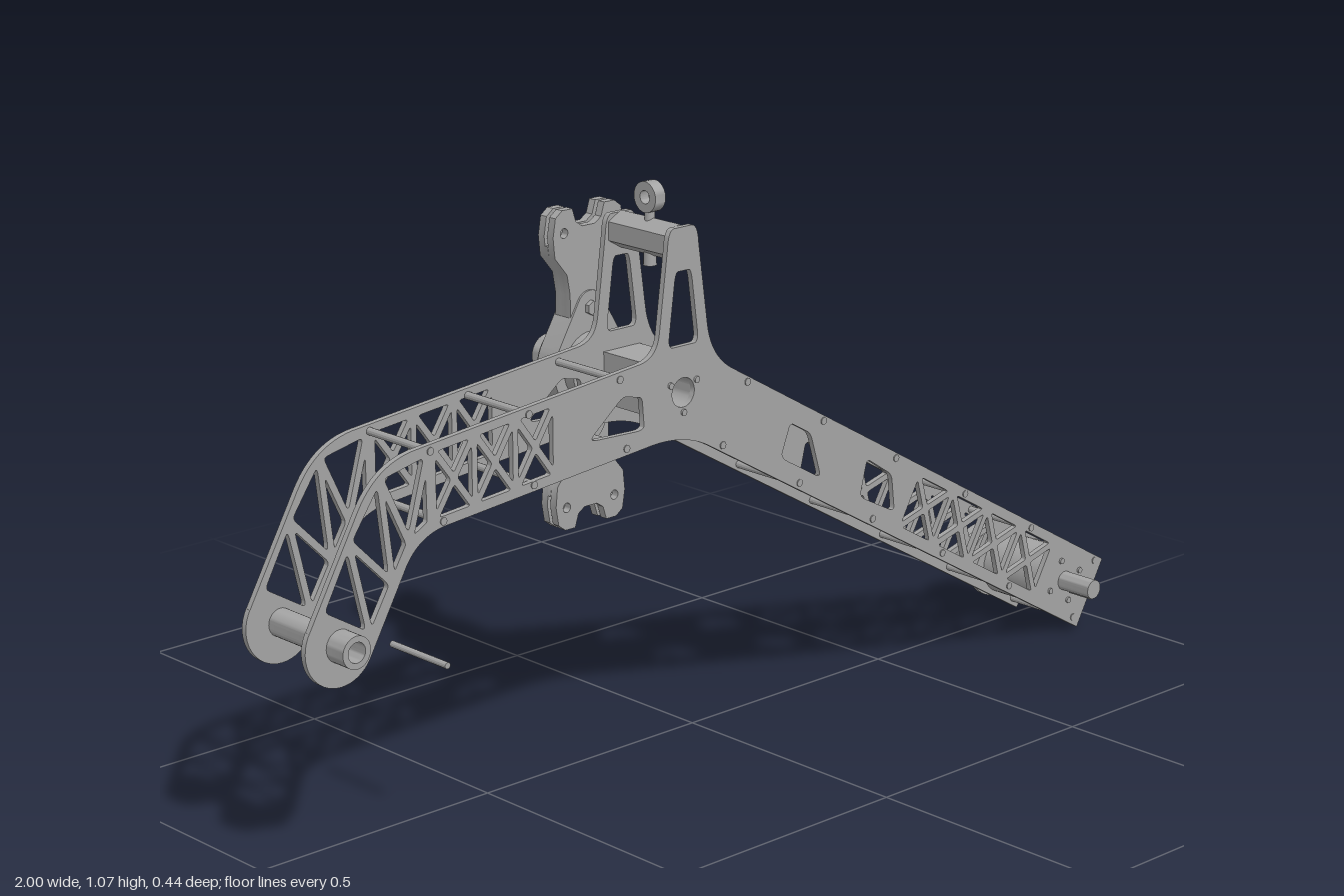
import * as THREE from 'three';
import { toCreasedNormals } from 'three/addons/utils/BufferGeometryUtils.js';

const grey = new THREE.MeshStandardMaterial({ color: 0xa4a4a4 });
grey.name = 'machined grey';
const V = (x, y) => new THREE.Vector2(x, y);
const FRONT = 0.132, BACK = -0.028, THICK = 0.011;

export function createModel() {
  const root = new THREE.Group();
  root.name = 'rockerArm';

  function add(name, geo, x = 0, y = 0, z = 0, parent = root) {
    const m = new THREE.Mesh(geo, grey);
    m.name = name;
    m.position.set(x, y, z);
    parent.add(m);
    return m;
  }
  const plate = (shape, depth) => toCreasedNormals(
    new THREE.ExtrudeGeometry(shape, { depth, bevelEnabled: false, curveSegments: 12 }), 0.6);

  // Solid or hollow round part along z
  function round(name, x, y, z0, z1, r, bore = 0, segs = 32) {
    const pts = [V(bore, z0), V(r, z0), V(r, z1), V(bore, z1)];
    if (bore) pts.push(V(bore, z0));
    const g = toCreasedNormals(new THREE.LatheGeometry(pts, segs).rotateX(Math.PI / 2), 0.6);
    return add(name, g, x, y);
  }

  // Polygon path with softened corners
  function softPath(pts, k = 0.16, path = new THREE.Path()) {
    pts.forEach((p, i) => {
      const a = p.clone().lerp(pts[(i + pts.length - 1) % pts.length], k);
      const b = p.clone().lerp(pts[(i + 1) % pts.length], k);
      if (i) path.lineTo(a.x, a.y); else path.moveTo(a.x, a.y);
      path.quadraticCurveTo(p.x, p.y, b.x, b.y);
    });
    path.closePath();
    return path;
  }
  function circle(x, y, r) {
    return new THREE.Path().absarc(x, y, r, 0, Math.PI * 2, true);
  }
  // Triangular window, set in from its edges by half a strut
  function window3(a, b, c, strut = 0.0065) {
    const la = b.distanceTo(c), lb = c.distanceTo(a), lc = a.distanceTo(b), sum = la + lb + lc;
    const area = Math.abs((b.x - a.x) * (c.y - a.y) - (c.x - a.x) * (b.y - a.y)) / 2;
    const mid = V((la * a.x + lb * b.x + lc * c.x) / sum, (la * a.y + lb * b.y + lc * c.y) / sum);
    const k = strut * sum / (2 * area);
    return softPath([a, b, c].map((p) => p.clone().lerp(mid, k)), 0.1);
  }
  // Crossed bracing: four windows per cell
  function bracing(top, bottom) {
    const out = [];
    for (let i = 0; i + 1 < top.length; i++) {
      const q = [top[i], top[i + 1], bottom[i + 1], bottom[i]];
      const mid = V(0, 0);
      q.forEach((p) => mid.addScaledVector(p, 0.25));
      q.forEach((p, j) => out.push(window3(p, q[(j + 1) % 4], mid, 0.006)));
    }
    return out;
  }

  // Long arm coordinates: s runs down the arm, t runs across it
  const arm = (s, t) => V(-0.07 + 0.866 * s + 0.5 * t, 0.664 - 0.5 * s + 0.866 * t);

  // Side plate outline: tower, bent short arm, long arm
  const side = new THREE.Shape();
  side.moveTo(-0.135, 1.003);
  side.lineTo(-0.18, 1.003);
  side.quadraticCurveTo(-0.192, 1.0, -0.194, 0.97);
  side.lineTo(-0.214, 0.82);
  side.quadraticCurveTo(-0.22, 0.78, -0.26, 0.775);
  side.lineTo(-0.767, 0.725);
  side.quadraticCurveTo(-0.845, 0.715, -0.885, 0.645);
  side.lineTo(-0.99, 0.461);
  side.absarc(-0.928, 0.425, 0.072, Math.PI * 5 / 6, Math.PI * 11 / 6, false);
  side.lineTo(-0.785, 0.53);
  side.quadraticCurveTo(-0.757, 0.575, -0.7, 0.581);
  side.lineTo(-0.23, 0.623);
  side.quadraticCurveTo(-0.15, 0.628, -0.09, 0.592);
  side.lineTo(0.925, 0.003);
  side.lineTo(0.997, 0.13);
  side.lineTo(-0.035, 0.725);
  side.quadraticCurveTo(-0.09, 0.755, -0.099, 0.82);
  side.lineTo(-0.12, 0.97);
  side.quadraticCurveTo(-0.122, 1.0, -0.135, 1.003);

  // Tower window, hub bore, end bore and large arm windows
  side.holes.push(
    softPath([V(-0.175, 0.925), V(-0.138, 0.925), V(-0.12, 0.79), V(-0.193, 0.79)]),
    circle(-0.157, 0.705, 0.027), circle(-0.928, 0.425, 0.02),
    softPath([V(-0.38, 0.66), V(-0.30, 0.725), V(-0.255, 0.715), V(-0.25, 0.655)]),
    softPath([arm(0.19, 0.03), arm(0.25, 0.03), arm(0.32, -0.035), arm(0.2, -0.035)]),
    softPath([arm(0.42, 0.035), arm(0.5, 0.03), arm(0.545, -0.03), arm(0.44, -0.035)]));

  // Bracing of both arms
  const steps = [0, 1, 2, 3, 4];
  side.holes.push(...bracing(steps.map((i) => arm(0.57 + i * 0.115, 0.057)),
    steps.map((i) => arm(0.57 + i * 0.115, -0.057))));
  const xs = [-0.725, -0.635, -0.545, -0.455];
  side.holes.push(...bracing(xs.map((x) => V(x, 0.715 + (x + 0.767) * 0.099)),
    xs.map((x) => V(x, 0.592 + (x + 0.714) * 0.089))));

  // Zigzag windows around the bend
  const outer = [V(-0.966, 0.487), V(-0.905, 0.598), V(-0.838, 0.695), V(-0.735, 0.717)];
  const inner = [V(-0.864, 0.425), V(-0.815, 0.507), V(-0.778, 0.568), V(-0.733, 0.592)];
  for (let i = 0; i < 3; i++) {
    side.holes.push(window3(outer[i], outer[i + 1], inner[i]),
      window3(inner[i], outer[i + 1], inner[i + 1]));
  }
  const sideGeo = plate(side, THICK);
  add('frontSidePlate', sideGeo, 0, 0, FRONT);
  add('backSidePlate', sideGeo, 0, 0, BACK);

  // Standoffs joining the two plates
  const posts = [V(-0.73, 0.717), V(-0.515, 0.737), V(-0.307, 0.757), V(-0.705, 0.59),
    V(-0.505, 0.61), V(-0.292, 0.63)];
  for (let i = 0; i < 6; i++) {
    const s = 0.046 + i * 0.2245;
    posts.push(arm(s, 0.061), arm(s, -0.061));
  }
  posts.forEach((p) => round('standoff', p.x, p.y, BACK - 0.002, FRONT + THICK + 0.002, 0.007, 0, 12));
  round('loosePin', -0.693, 0.328, -0.017, FRONT, 0.006, 0, 12);

  // Bearing block between the plates, with its bolts
  const block = new THREE.Shape([V(-0.043, -0.045), V(0.043, -0.045), V(0.043, 0.05), V(-0.043, 0.05)]);
  block.holes.push(circle(0, 0, 0.027));
  add('bearingBlock', plate(block, 0.149), -0.157, 0.705, -0.017);
  for (let i = 0; i < 3; i++) {
    const a = Math.PI / 6 + i * Math.PI * 2 / 3;
    round('hubBolt', -0.157 + 0.036 * Math.cos(a), 0.705 + 0.036 * Math.sin(a), FRONT, 0.147, 0.006, 0, 12);
  }

  // Tower crossbar and rod end
  const bar = new THREE.CylinderGeometry(0.034, 0.034, 0.149, 6).rotateX(Math.PI / 2);
  add('towerCrossbar', bar.toNonIndexed(), -0.157, 0.972, 0.0575).geometry.computeVertexNormals();
  const rodEnd = new THREE.Group();
  rodEnd.name = 'rodEnd';
  rodEnd.position.set(-0.157, 1.043, 0.058);
  root.add(rodEnd);
  const eye = new THREE.Shape().absarc(0, 0, 0.028, 0, Math.PI * 2, false);
  eye.holes.push(circle(0, 0, 0.012));
  add('eye', plate(eye, 0.024).rotateY(Math.PI / 2), -0.012, 0, 0, rodEnd);
  add('eyeRace', new THREE.TorusGeometry(0.015, 0.005, 8, 24).rotateY(Math.PI / 2), 0.012, 0, 0, rodEnd);
  add('stem', new THREE.CylinderGeometry(0.009, 0.012, 0.1, 16), 0, -0.073, 0, rodEnd);
  add('nut', new THREE.CylinderGeometry(0.009, 0.009, 0.018, 6), 0, -0.112, 0, rodEnd);

  // Spacer tube at the bent end
  round('endSpacer', -0.928, 0.425, -0.017, FRONT, 0.025, 0.018);
  round('endCollar', -0.928, 0.425, FRONT + THICK, 0.187, 0.029, 0.018);
  round('endCollar', -0.928, 0.425, -0.07, BACK, 0.029, 0.018);

  // Vertical hanger: quarter outline mirrored about the hub, forked ends
  const quarter = [V(0.05, 0), V(0.045, 0.14), V(0.052, 0.178), V(0.08, 0.212), V(0.084, 0.25),
    V(0.078, 0.285), V(0.062, 0.297), V(0.038, 0.297), V(0.03, 0.272), V(0.015, 0.262)];
  const flip = (list, sx, sy) => list.map((p) => V(p.x * sx, p.y * sy));
  const ring = (q) => [...q, ...flip(q, -1, 1).reverse(), ...flip(q, -1, -1), ...flip(q, 1, -1).reverse()];
  const hanger = new THREE.Shape(ring(quarter.slice(1)));
  for (const sx of [-1, 1]) for (const sy of [-1, 1]) hanger.holes.push(circle(sx * 0.058, sy * 0.255, 0.009));
  hanger.holes.push(circle(0, 0, 0.03));
  const fork = plate(hanger, 0.016);
  add('hangerFork', fork, -0.157, 0.7025, -0.119);
  add('hangerFork', fork, -0.157, 0.7025, -0.143);
  const core = new THREE.Shape(ring([V(0.045, 0.14), V(0.052, 0.178), V(0.08, 0.212), V(0.083, 0.232)]));
  core.holes.push(circle(0, 0, 0.03));
  add('hangerCore', plate(core, 0.008), -0.157, 0.7025, -0.127);

  // Oval bearing flange with two bolts
  const oval = new THREE.Shape();
  oval.absarc(0, 0, 0.087, -0.5, 0.5, false);
  oval.absarc(0, 0.108, 0.032, 0.5, Math.PI - 0.5, false);
  oval.absarc(0, 0, 0.087, Math.PI - 0.5, Math.PI + 0.5, false);
  oval.absarc(0, -0.108, 0.032, Math.PI + 0.5, Math.PI * 2 - 0.5, false);
  oval.holes.push(circle(0, 0, 0.03));
  add('bearingFlange', plate(oval, 0.048), -0.157, 0.705, -0.147);
  for (const s of [-1, 1]) round('flangeBolt', -0.157, 0.705 + s * 0.108, -0.156, -0.09, 0.014, 0, 6);

  // Hollow pivot shaft with stepped hub
  round('pivotShaft', -0.157, 0.705, -0.22, BACK, 0.036, 0.025);
  round('hubStep', -0.157, 0.705, -0.172, -0.074, 0.065, 0.03);
  round('hubLip', -0.157, 0.705, -0.178, -0.07, 0.052, 0.03);
  for (const z of [-0.2, -0.05]) {
    add('setScrew', new THREE.CylinderGeometry(0.007, 0.007, 0.006, 10), -0.157, 0.742, z);
  }

  // Motor: body, shaft, flange and vented end cap
  const mx = 0.883, my = 0.111;
  round('motorBody', mx, my, -0.017, FRONT, 0.062);
  round('motorShaft', mx, my, FRONT, 0.22, 0.019);
  add('shaftKey', new THREE.BoxGeometry(0.008, 0.006, 0.055), mx, my - 0.018, 0.187);
  round('motorNeck', mx, my, -0.06, BACK, 0.052);
  round('motorFlange', mx, my, -0.048, -0.039, 0.075);
  round('motorCap', mx, my, -0.095, -0.054, 0.063, 0.05);
  round('motorCapFloor', mx, my, -0.08, -0.056, 0.051);
  round('motorCapHub', mx, my, -0.095, -0.078, 0.018);
  for (let i = 0; i < 5; i++) {
    const a = i * Math.PI * 2 / 5;
    const spoke = add('motorCapSpoke', new THREE.BoxGeometry(0.04, 0.01, 0.014),
      mx + 0.033 * Math.cos(a), my + 0.033 * Math.sin(a), -0.087);
    spoke.rotation.z = a;
  }
  for (let i = 0; i < 4; i++) {
    const a = Math.PI / 12 + i * Math.PI / 2;
    round('motorBolt', mx + 0.045 * Math.cos(a), my + 0.045 * Math.sin(a), FRONT, 0.147, 0.006, 0, 12);
  }
  return root;
}
